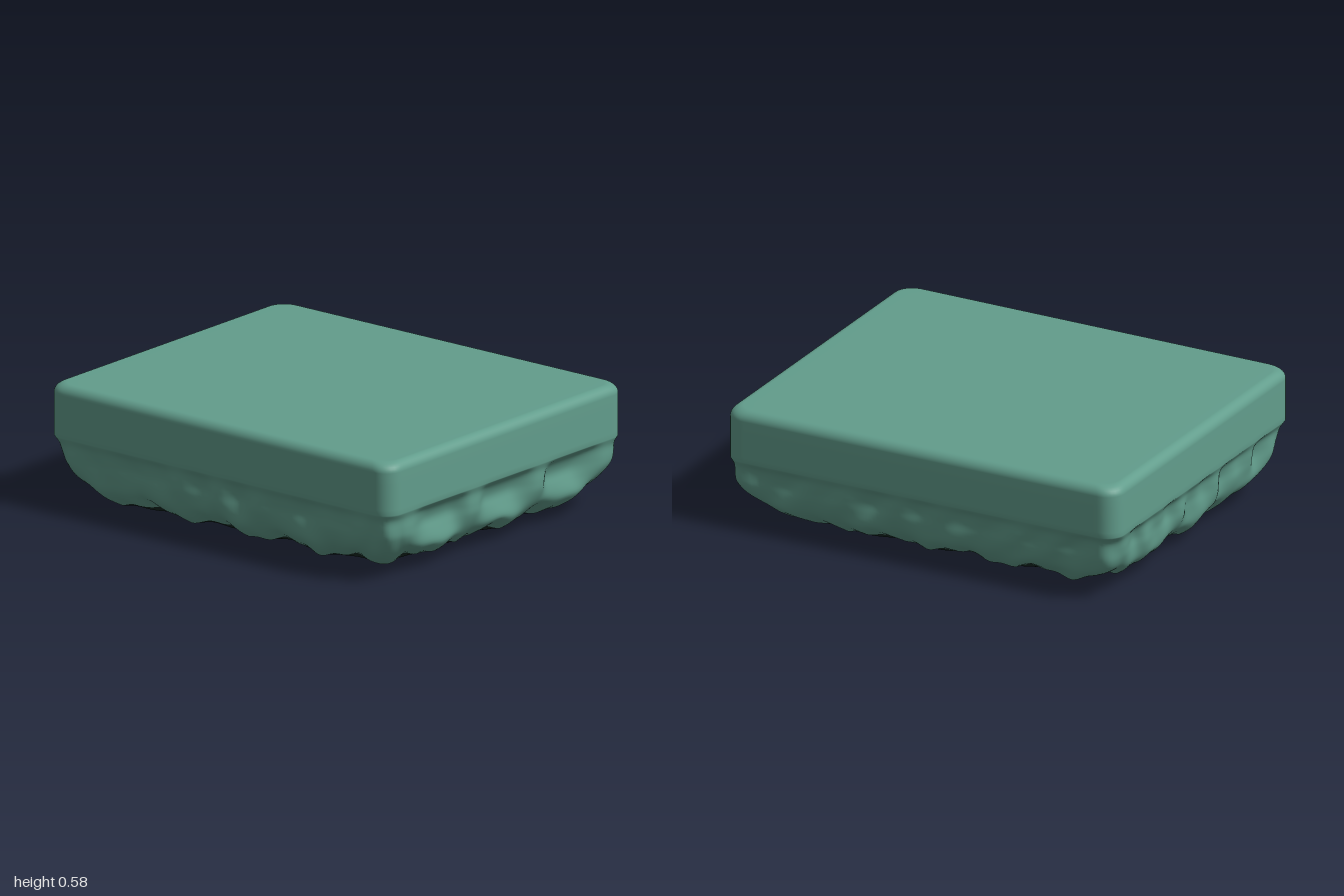
import * as THREE from 'three';

const HX = 0.835, HZ = 0.995, R = 0.085, N = 400;

// Rounded rectangle outline, evenly spaced, in (x, z); the right side narrows slightly to the back
function outline() {
  const s = new THREE.Shape(), a = HX - R, b = HZ - R, q = Math.PI / 2;
  s.absarc(a, b, R, 0, q);
  s.absarc(-a, b, R, q, 2 * q);
  s.absarc(-a, -b, R, 2 * q, 3 * q);
  s.absarc(a, -b, R, 3 * q, 4 * q);
  s.closePath();
  return s.getSpacedPoints(N).slice(0, N).map(p =>
    new THREE.Vector2(p.x < 0 ? p.x * (0.99 + 0.012 * p.y) : p.x * 0.998, p.y));
}

// Skin a list of closed loops; faces are grouped by materialAt(x, z)
function loft(loops, materialAt = () => 0) {
  const pos = [], sets = [[], []];
  loops.forEach((loop, i) => loop.forEach((p, j) => {
    pos.push(p.x, p.y, p.z);
    if (i === loops.length - 1) return;
    const k = (j + 1) % N, a = i * N + j, b = i * N + k;
    sets[materialAt(p.x, p.z)].push(a, b, a + N, b, b + N, a + N);
  }));
  const g = new THREE.BufferGeometry();
  g.setAttribute('position', new THREE.Float32BufferAttribute(pos, 3));
  g.setIndex(sets.flat());
  g.addGroup(0, sets[0].length, 0);
  g.addGroup(sets[0].length, sets[1].length, 1);
  g.computeVertexNormals();
  return g;
}

const smooth = THREE.MathUtils.smoothstep;
const bump = (x, z, cx, cz, r) => Math.exp(-((x - cx) ** 2 + (z - cz) ** 2) / (r * r));

// Hollows under the lip: broad arches in front, slanted ribs on the sides, fine lumps behind
function hollow(x, y, z) {
  const front = smooth(z, 0.87, 0.98), back = smooth(-z, 0.87, 0.98);
  const f = smooth(Math.abs(Math.sin(6.7 * (x + 0.22))), 0.1, 0.9) * (1 - smooth(Math.abs(x), 0.68, 0.82));
  const t = z + (x > 0 ? 0.4 : -0.3) * y;
  const s = 0.5 + 0.32 * Math.sin(17 * t + 2 * Math.sin(5 * z)) + 0.18 * Math.sin(29 * t + 9 * y + x);
  const b = 0.5 + 0.3 * Math.sin(21 * x + 5 * y) + 0.2 * Math.sin(37 * x - 9 * y);
  return f * front + 0.75 * b * back + 0.75 * s * (1 - front - back);
}

// Point of the outline moved inwards and set at height y
function inset(p, d, y) {
  return new THREE.Vector3(p.x * (HX - d) / HX, y, p.y * (HZ - d) / HZ);
}

// Rough flank, u = 0 at the lip and u = 1 at the lower rim
const flank = new THREE.CatmullRomCurve3([
  [0, 0.335], [0.012, 0.3], [0.014, 0.25], [0.02, 0.2], [0.045, 0.14], [0.088, 0.09], [0.145, 0.052],
].map(([d, y]) => new THREE.Vector3(d, y, 0)));

function flankPoint(p, u) {
  const c = flank.getPoint(u), h = hollow(p.x, c.y, p.y);
  const arch = Math.sin(Math.PI * Math.min(1, u / 0.75)) ** 1.5 * 0.055 * h;
  const low = smooth(u, 0.4, 1) * 0.02 * Math.sin(13 * p.x + 15 * p.y + 12 * c.y);
  const wave = smooth(u, 0.5, 1) * 0.01 * (Math.sin(19 * p.x + 14 * p.y) + 0.6 * Math.sin(37 * (p.x - p.y)));
  const corner = smooth(u, 0.35, 1) * 0.04 * smooth(Math.abs(p.x) / HX + Math.abs(p.y) / HZ, 1.75, 1.95);
  return inset(p, c.x + arch + low + corner, c.y + wave);
}

// Lumpy ground side, low in a few places
function baseHeight(x, z) {
  return 0.033 + 0.006 * Math.sin(13 * x + 3 * z) * Math.sin(11 * z - 4 * x)
    + 0.003 * Math.sin(29 * x) * Math.sin(27 * z + 1)
    - 0.028 * bump(x, z, -0.33, 0.67, 0.14) - 0.028 * bump(x, z, -0.3, -0.7, 0.14)
    - 0.012 * bump(x, z, 0.22, -0.2, 0.16)
    + 0.03 * bump(x, z, -0.37, 0.31, 0.09) + 0.03 * bump(x, z, -0.59, -0.2, 0.08);
}

// Small pits in the underside where the lighter colour shows
const isPit = (x, z) => Math.hypot((x + 0.37) / 0.045, (z - 0.31) / 0.085) < 1
  || Math.hypot((x + 0.59) / 0.045, (z + 0.2) / 0.08) < 1 ? 1 : 0;

export function createModel() {
  const green = new THREE.MeshStandardMaterial({ color: 0x629d8c });
  green.name = 'sage green';
  const dark = new THREE.MeshStandardMaterial({ color: 0x162a23 });
  dark.name = 'dark underside green';
  const group = new THREE.Group();
  group.name = 'roughSlab';
  const pts = outline();

  const add = (name, geometry, material) => {
    const mesh = new THREE.Mesh(geometry, material);
    mesh.name = name;
    group.add(mesh);
  };

  // Smooth upper slab with a softened top edge
  const block = [0, 0.5, 0.9].map(k => pts.map(p => new THREE.Vector3(p.x * k, 0.577, p.y * k)));
  for (let i = 0; i <= 8; i++) {
    const a = i / 8 * Math.PI / 2;
    block.push(pts.map(p => inset(p, 0.045 * (1 - Math.sin(a)), 0.532 + 0.045 * Math.cos(a))));
  }
  for (const y of [0.48, 0.41, 0.36]) block.push(pts.map(p => inset(p, 0, y)));

  // Eroded flank flowing on from the lip
  for (let i = 0; i <= 28; i++) block.push(pts.map(p => flankPoint(p, i / 28)));
  add('block', loft(block), green);

  // Dark underside, closing from the rim to the centre
  const rim = block[block.length - 1], base = [rim];
  for (let i = 1; i <= 60; i++) {
    const k = 1 - i / 60, blend = smooth(i, 0, 5);
    base.push(rim.map(p => {
      const x = p.x * k, z = p.z * k;
      return new THREE.Vector3(x, THREE.MathUtils.lerp(p.y, baseHeight(x, z), blend), z);
    }));
  }
  add('underside', loft(base, isPit), [dark, green]);

  return group;
}
